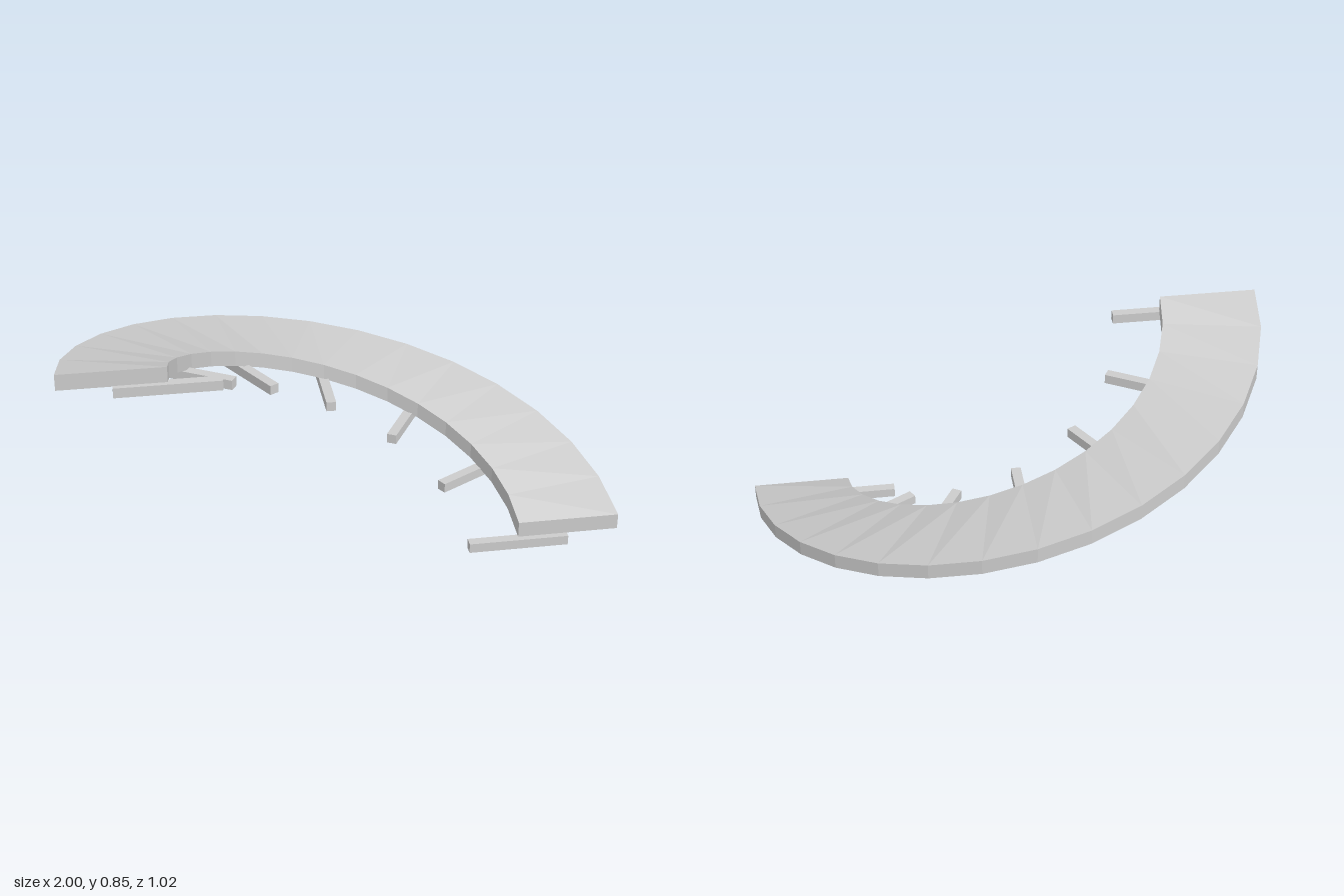
import * as THREE from 'three';

const CENTRE_Z = 0.49;   // centre of the half-turn
const INNER = 0.625, OUTER = 1, THICK = 0.06;
const START_Y = 0.04, RISE = 0.75;
const SEGMENTS = 16, BEAMS = 7, BEAM = 0.037;

// Helical ramp: a rectangular section swept through half a turn while rising
function rampGeometry() {
  const section = [[INNER, 0], [OUTER, 0], [OUTER, THICK], [INNER, THICK]];
  const positions = [], index = [];
  for (let i = 0; i <= SEGMENTS; i++) {
    const t = i / SEGMENTS, a = t * Math.PI;
    for (const [r, y] of section) {
      positions.push(r * Math.cos(a), START_Y + RISE * t + y, CENTRE_Z - r * Math.sin(a));
    }
  }
  for (let i = 0; i < SEGMENTS; i++) {
    for (let k = 0; k < 4; k++) {
      const a = i * 4 + k, b = i * 4 + (k + 1) % 4;
      index.push(a, a + 4, b + 4, a, b + 4, b);
    }
  }
  // End caps
  const e = SEGMENTS * 4;
  index.push(0, 1, 2, 0, 2, 3, e, e + 2, e + 1, e, e + 3, e + 2);

  const indexed = new THREE.BufferGeometry();
  indexed.setAttribute('position', new THREE.Float32BufferAttribute(positions, 3));
  indexed.setIndex(index);
  const geometry = indexed.toNonIndexed();
  geometry.computeVertexNormals();
  return geometry;
}

export function createModel() {
  const model = new THREE.Group();
  model.name = 'curvedRamp';
  const grey = new THREE.MeshStandardMaterial({ color: 0xcccccc });
  grey.name = 'light grey';
  grey.flatShading = true;

  const ramp = new THREE.Mesh(rampGeometry(), grey);
  ramp.name = 'rampDeck';
  model.add(ramp);

  // Radial support beams just under the deck, centred on its inner edge
  const beamGeometry = new THREE.BoxGeometry(0.37, BEAM, BEAM);
  for (let i = 0; i < BEAMS; i++) {
    const t = i / (BEAMS - 1), a = t * Math.PI;
    const beam = new THREE.Mesh(beamGeometry, grey);
    beam.name = `supportBeam${i + 1}`;
    beam.position.set(INNER * Math.cos(a), BEAM / 2 + 0.755 * t, CENTRE_Z - INNER * Math.sin(a));
    beam.rotation.y = a;
    model.add(beam);
  }
  return model;
}
